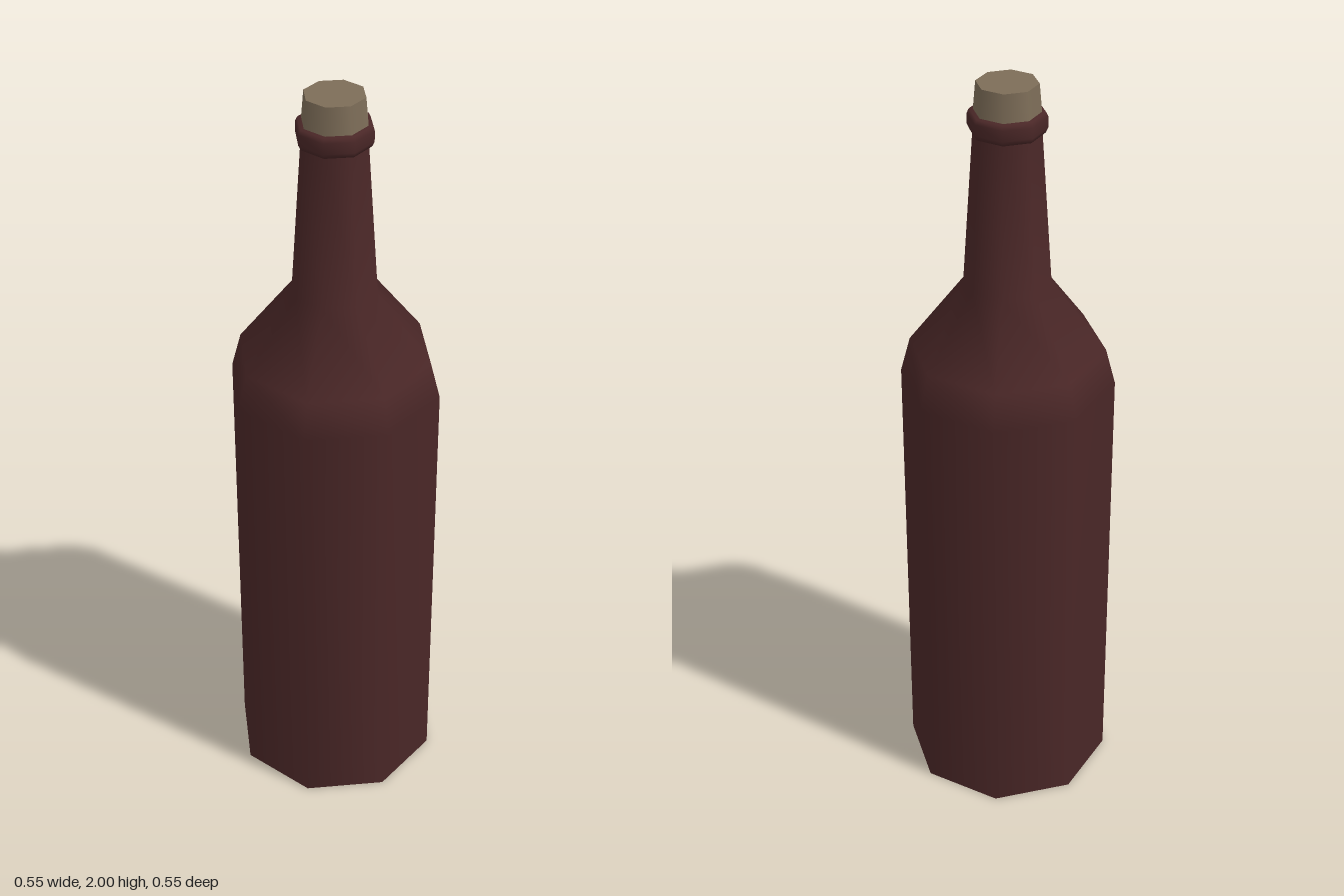
import * as THREE from 'three';

const SIDES = 8;

// Eight-sided turned surface, profile listed from bottom to top as [radius, height]
function turned(name, profile, material) {
  const points = profile.map(([r, y]) => new THREE.Vector2(r, y));
  const mesh = new THREE.Mesh(new THREE.LatheGeometry(points, SIDES), material);
  mesh.name = name;
  return mesh;
}

// Flat eight-sided disc facing up (1) or down (-1)
function disc(name, radius, y, facing, material) {
  const geometry = new THREE.CircleGeometry(radius, SIDES);
  geometry.rotateX(-facing * Math.PI / 2);
  const mesh = new THREE.Mesh(geometry, material);
  mesh.name = name;
  mesh.position.y = y;
  return mesh;
}

export function createModel() {
  const glass = new THREE.MeshStandardMaterial({ color: 0x4a2727 });
  glass.name = 'dark red glass';
  const corkMaterial = new THREE.MeshStandardMaterial({ color: 0x7d6d58 });
  corkMaterial.name = 'cork';

  const group = new THREE.Group();
  group.name = 'bottle';

  // Body, rounded shoulder and tapering neck
  group.add(turned('body', [
    [0.275, 0], [0.275, 1.2], [0.25, 1.295], [0.11, 1.48], [0.083, 1.89],
  ], glass));
  group.add(disc('base', 0.275, 0, -1, glass));

  // Raised lip around the mouth
  group.add(turned('lip', [
    [0.08, 1.875], [0.091, 1.877], [0.097, 1.89], [0.097, 1.918], [0.092, 1.929], [0.07, 1.93],
  ], glass));

  // Tapered stopper
  group.add(turned('corkSide', [[0.083, 1.92], [0.076, 2]], corkMaterial));
  group.add(disc('corkTop', 0.076, 2, 1, corkMaterial));

  return group;
}
